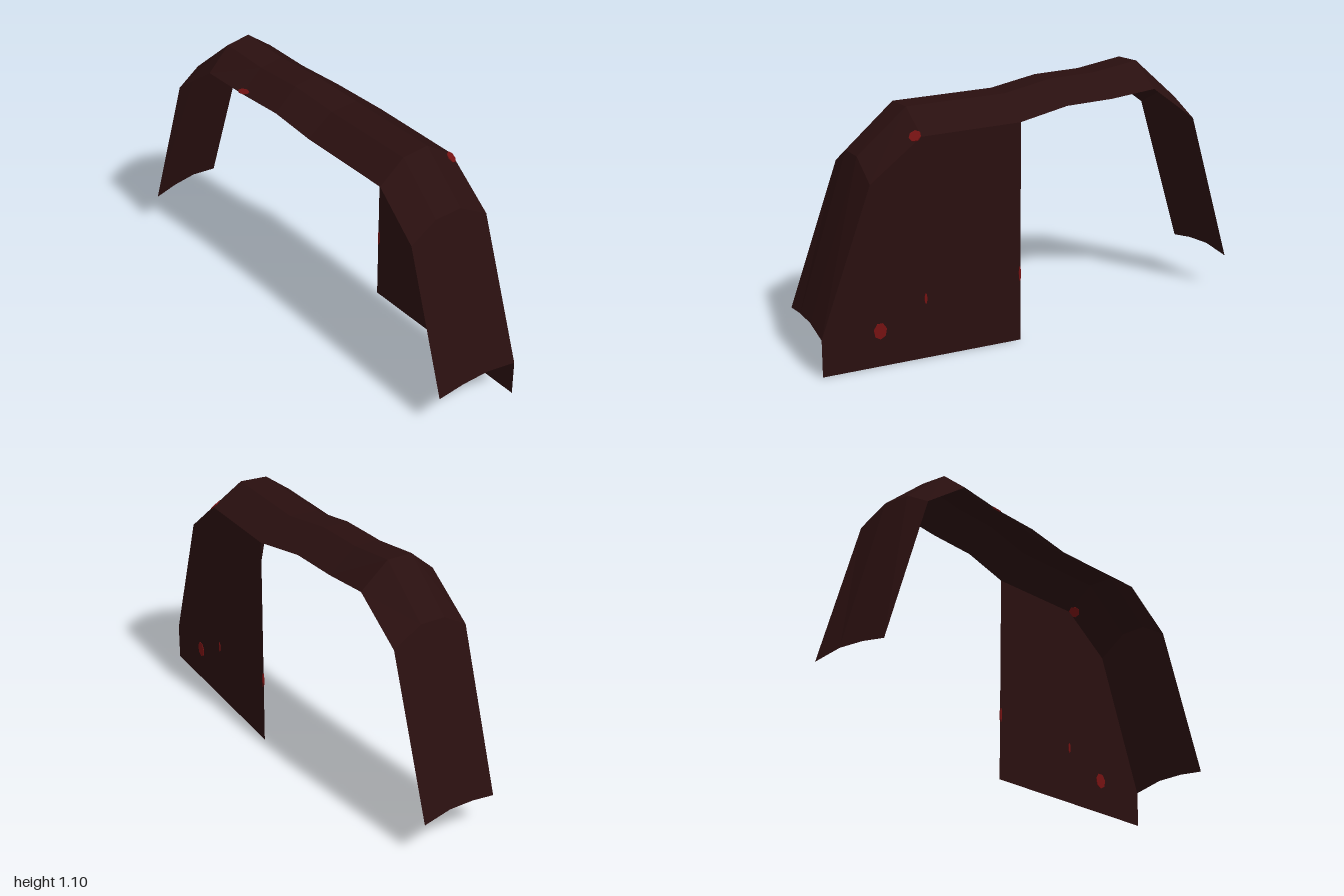
import * as THREE from 'three';

// Rear and front rims of the arched canopy, with the crown height of each section
const rear = [[-0.93, 0.16, -0.45], [-0.72, 0.84, -0.405], [-0.51, 1.0, -0.355], [-0.30, 0.985, -0.30],
  [-0.08, 0.985, -0.245], [0.16, 0.955, -0.21], [0.58, 0.95, -0.07], [0.79, 0.78, 0.005], [1, 0.16, 0.08]];
const front = [[-1, 0.16, -0.10], [-0.79, 0.84, -0.05], [-0.58, 1.0, 0], [-0.37, 0.985, 0.05],
  [-0.16, 0.985, 0.105], [0.04, 0.955, 0.16], [0.47, 0.95, 0.30], [0.66, 0.78, 0.37], [0.86, 0.16, 0.45]];
const crown = [0.183, 0.91, 1.1, 1.075, 1.075, 1.045, 1.042, 0.86, 0.183];
const across = [0, 0.36, 0.69, 1];

function canopyGeometry() {
  const positions = [], index = [];
  const rows = across.length;
  rear.forEach((r, i) => across.forEach((t, j) => {
    const p = new THREE.Vector3(...r).lerp(new THREE.Vector3(...front[i]), t);
    if (j > 0 && j < rows - 1) p.y = crown[i] - (j === 2 ? 0.005 : 0);
    positions.push(p.x, p.y, p.z);
  }));
  for (let i = 0; i < rear.length - 1; i++) {
    for (let j = 0; j < rows - 1; j++) {
      const a = i * rows + j, c = a + rows;
      index.push(a, a + 1, c, c, a + 1, c + 1);
    }
  }
  const indexed = new THREE.BufferGeometry();
  indexed.setAttribute('position', new THREE.Float32BufferAttribute(positions, 3));
  indexed.setIndex(index);
  const g = indexed.toNonIndexed();
  g.computeVertexNormals();
  return g;
}

export function createModel() {
  const model = new THREE.Group();
  model.name = 'archedCanopy';
  const cloth = new THREE.MeshStandardMaterial({ color: 0x290f0f, side: THREE.DoubleSide, flatShading: true });
  cloth.name = 'dark maroon';
  const red = new THREE.MeshStandardMaterial({ color: 0x741212, flatShading: true });
  red.name = 'red';

  const add = (parent, name, geometry, material) => {
    const mesh = new THREE.Mesh(geometry, material);
    mesh.name = name;
    parent.add(mesh);
    return mesh;
  };

  // Arched strip
  add(model, 'canopy', canopyGeometry(), cloth);

  // Flat panel hanging from the rear rim down to the ground
  const panel = new THREE.Group();
  panel.name = 'sidePanel';
  panel.position.set(0.16, 0, -0.21);
  panel.rotation.y = -Math.atan2(0.29, 0.84);
  model.add(panel);
  const along = (x) => (x - 0.16) * Math.hypot(0.84, 0.29) / 0.84;
  const outline = [[0.16, 0], [1, 0], ...rear.slice(5).reverse()]
    .map(([x, y]) => new THREE.Vector2(along(x), y));
  add(panel, 'panelSheet', new THREE.ShapeGeometry(new THREE.Shape(outline)), cloth);

  // Red flecks on the panel, showing on both faces
  [[0.762, 0.155, 0.029, 0.036], [0.57, 0.262, 0.006, 0.024], [0.164, 0.3, 0.005, 0.034]].forEach(([x, y, rx, ry]) => {
    const fleck = add(panel, 'panelFleck', new THREE.CylinderGeometry(1, 1, 0.006, 7), red);
    fleck.rotation.x = Math.PI / 2;
    fleck.scale.set(rx, 1, ry);
    fleck.position.set(along(x), y, 0);
  });

  // Red flecks on the canopy rims
  [[[0.592, 0.95, -0.045], [0.664, 0.70, -0.27], 0.026, 0.026],
    [[-0.37, 0.993, 0.04], [-0.16, 0.78, 0.61], 0.03, 0.013]].forEach(([p, n, rx, rz]) => {
    const fleck = add(model, 'rimFleck', new THREE.CylinderGeometry(1, 1, 0.006, 7), red);
    fleck.position.set(...p);
    fleck.quaternion.setFromUnitVectors(new THREE.Vector3(0, 1, 0), new THREE.Vector3(...n).normalize());
    fleck.scale.set(rx, 1, rz);
  });

  return model;
}
